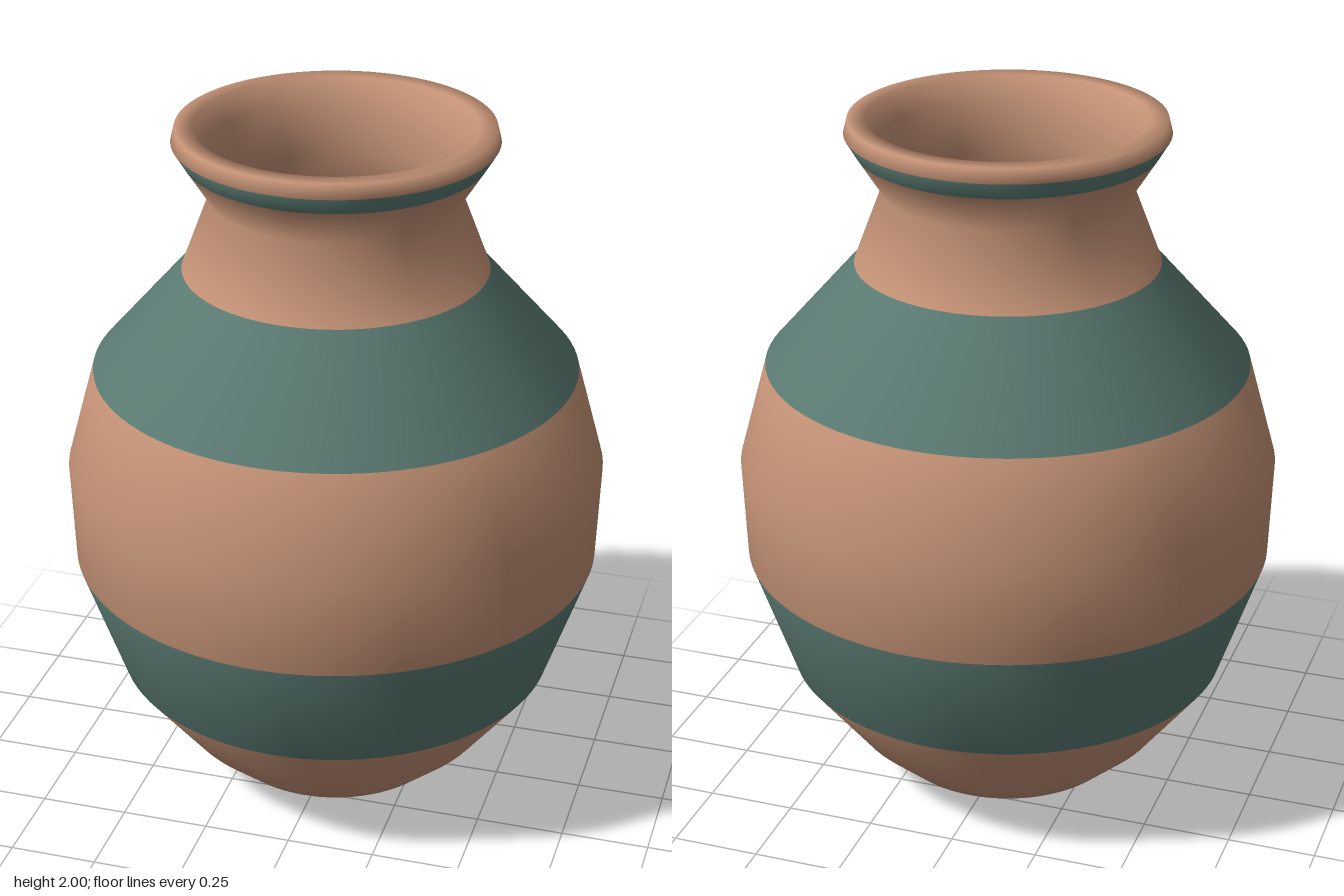
import * as THREE from 'three';

// Profile from the foot, up the outside, over the lip and down the inside
const PROFILE = [
  [0, 0], [0.2, 0], [0.34, 0.05], [0.46, 0.16], [0.63, 0.38], [0.75, 0.73],
  [0.76, 1.01], [0.68, 1.3], [0.425, 1.59], [0.345, 1.8], [0.415, 1.91],
  [0.445, 1.96], [0.435, 2.0], [0.385, 2.0], [0.365, 1.93], [0.31, 1.8],
  [0.385, 1.57], [0.64, 1.28], [0.72, 1.01], [0.71, 0.74], [0.595, 0.4],
  [0.43, 0.19], [0.32, 0.09], [0.19, 0.04], [0, 0.04],
];

const CLAY = 0xc39175;
const GLAZE = 0x5b7b73;

// Painted zones: name, first and last profile point, colour
const ZONES = [
  ['base', 0, 4, CLAY],
  ['lowerBand', 4, 5, GLAZE],
  ['belly', 5, 7, CLAY],
  ['shoulderBand', 7, 8, GLAZE],
  ['neck', 8, 10, CLAY],
  ['rimBand', 10, 11, GLAZE],
  ['lipAndInterior', 11, PROFILE.length - 1, CLAY],
];

const SEGMENTS = 96;

// Cut the strip between two profile points out of the lathe, keeping its smooth normals
function zoneGeometry(lathe, from, to) {
  const count = PROFILE.length;
  const index = [];
  for (let i = 0; i < SEGMENTS; i++) {
    for (let j = from; j < to; j++) {
      const a = i * count + j;
      const b = a + count;
      index.push(a, b, a + 1, b + 1, a + 1, b);
    }
  }
  const geometry = lathe.clone();
  geometry.setIndex(index);
  return geometry;
}

export function createModel() {
  const vase = new THREE.Group();
  vase.name = 'vase';
  const lathe = new THREE.LatheGeometry(PROFILE.map(([r, y]) => new THREE.Vector2(r, y)), SEGMENTS);
  const materials = new Map([CLAY, GLAZE].map((color) => [color, new THREE.MeshStandardMaterial({ color })]));

  for (const [name, from, to, color] of ZONES) {
    const mesh = new THREE.Mesh(zoneGeometry(lathe, from, to), materials.get(color));
    mesh.name = name;
    vase.add(mesh);
  }
  return vase;
}
